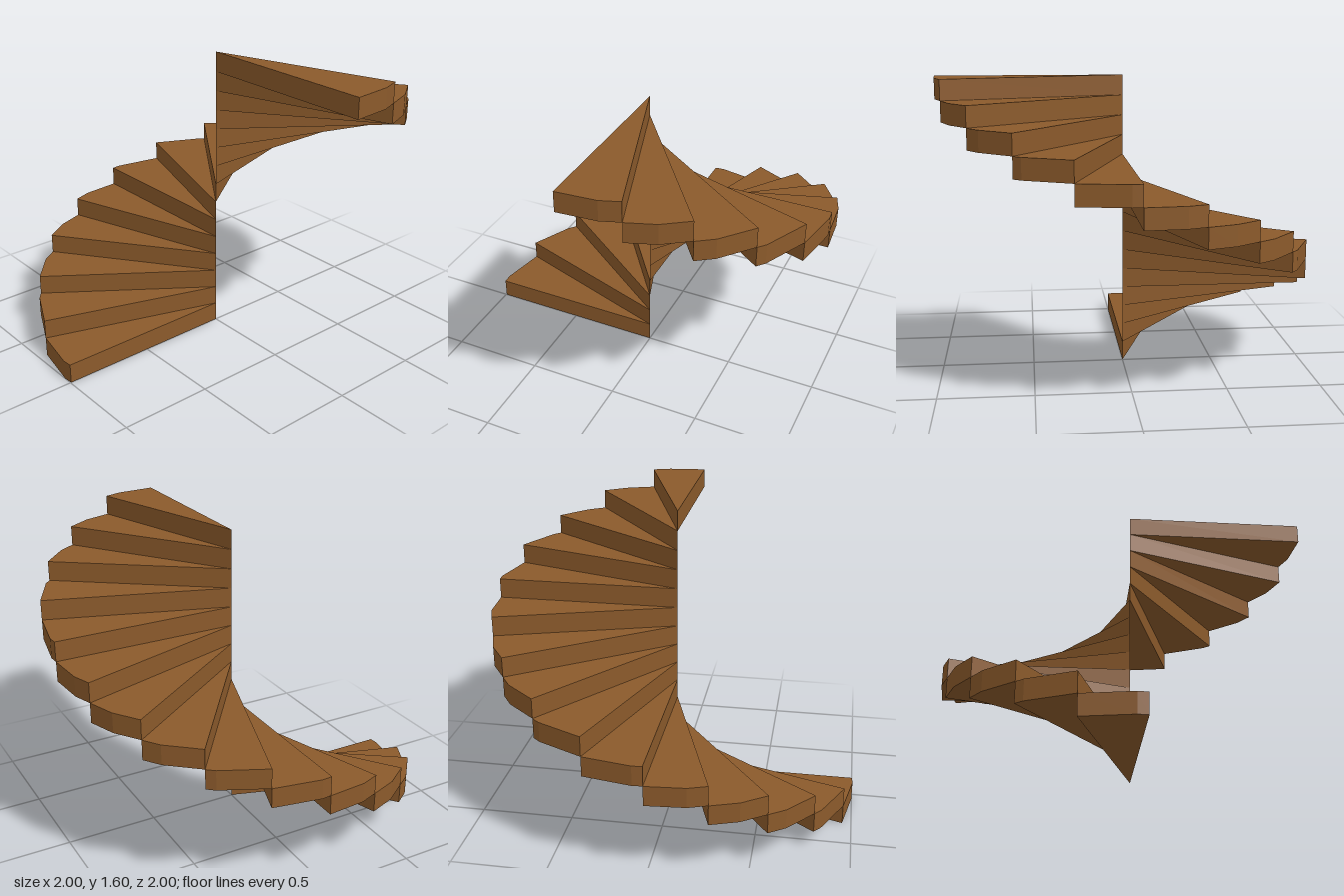
import * as THREE from 'three';

const STEPS = 15;
const RISE = 1.603 / STEPS;
const TURN = 18; // degrees per step
const FACET = 15; // the outer rim is a 24-sided polygon
const OFFSET = 3; // angle of its first corner
const RADIUS = 1.001;

// Point on the polygonal rim, measured from +z towards -x
function rimPoint(deg) {
  const rad = THREE.MathUtils.degToRad;
  const mid = THREE.MathUtils.euclideanModulo(deg - OFFSET, FACET) - FACET / 2;
  const r = RADIUS * Math.cos(rad(FACET / 2)) / Math.cos(rad(mid));
  return new THREE.Vector2(-r * Math.sin(rad(deg)), -r * Math.cos(rad(deg)));
}

// Wedge-shaped solid tread between two angles
function treadGeometry(start, end) {
  const points = [new THREE.Vector2(0, 0), rimPoint(start)];
  for (let a = OFFSET; a < end; a += FACET) if (a > start) points.push(rimPoint(a));
  points.push(rimPoint(end));
  const geometry = new THREE.ExtrudeGeometry(new THREE.Shape(points), { depth: RISE, bevelEnabled: false });
  return geometry.rotateX(-Math.PI / 2);
}

export function createModel() {
  const group = new THREE.Group();
  group.name = 'spiralStaircase';
  const wood = new THREE.MeshStandardMaterial({ color: 0x8b5a2b, flatShading: true });

  // Treads climb clockwise around the central axis
  for (let i = 0; i < STEPS; i++) {
    const tread = new THREE.Mesh(treadGeometry(i * TURN, (i + 1) * TURN), wood);
    tread.name = `step${i + 1}`;
    tread.position.y = i * RISE;
    group.add(tread);
  }
  return group;
}
